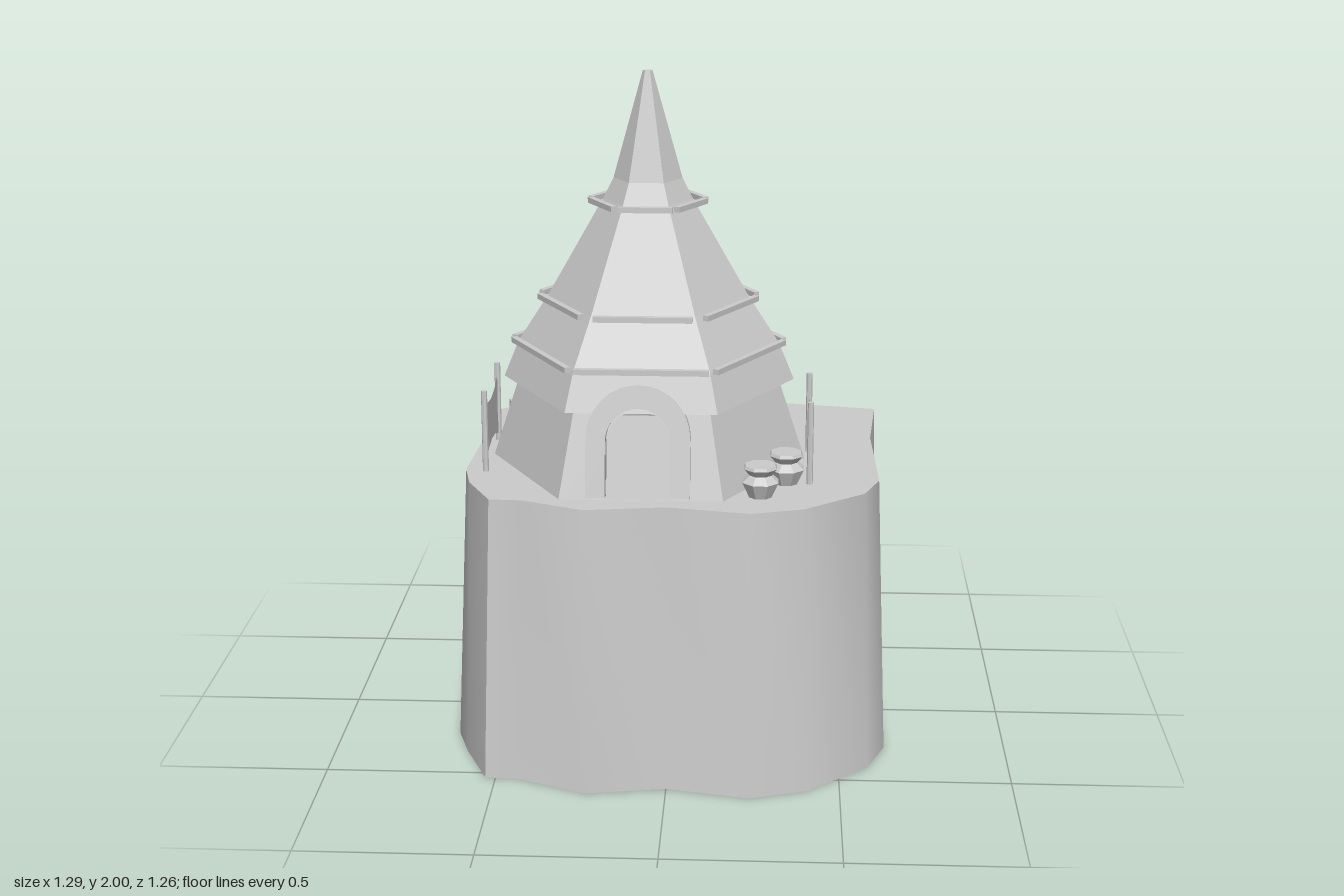
import * as THREE from 'three';
import { toCreasedNormals } from 'three/addons/utils/BufferGeometryUtils.js';

const GROUND = 0.845;
const flat = new THREE.MeshStandardMaterial({ color: 0xcccccc, flatShading: true, side: THREE.DoubleSide });
const smooth = new THREE.MeshStandardMaterial({ color: 0xcccccc, side: THREE.DoubleSide });

// Rock outline: bottom x, z then top x, z
const OUTLINE = [
  [-0.475, -0.62, -0.45, -0.57], [-0.32, -0.585, -0.295, -0.54], [-0.075, -0.635, -0.06, -0.59],
  [0.045, -0.61, 0.045, -0.57], [0.26, -0.615, 0.25, -0.57], [0.355, -0.545, 0.345, -0.505],
  [0.645, -0.485, 0.62, -0.455], [0.63, -0.14, 0.595, -0.14], [0.64, 0.275, 0.605, 0.275],
  [0.585, 0.415, 0.56, 0.395], [0.405, 0.575, 0.385, 0.54], [0.24, 0.63, 0.235, 0.585],
  [0, 0.58, 0, 0.54], [-0.23, 0.62, -0.23, 0.575], [-0.435, 0.535, -0.41, 0.5],
  [-0.53, 0.53, -0.505, 0.495], [-0.605, 0.355, -0.58, 0.345], [-0.645, 0.23, -0.605, 0.225],
  [-0.62, -0.12, -0.59, -0.12], [-0.64, -0.37, -0.6, -0.37], [-0.575, -0.455, -0.54, -0.44],
  [-0.6, -0.525, -0.565, -0.515],
];

function add(parent, name, geometry, material = flat, x = 0, y = 0, z = 0) {
  const mesh = new THREE.Mesh(geometry, material);
  mesh.name = name;
  mesh.position.set(x, y, z);
  parent.add(mesh);
  return mesh;
}

const lathe = (points, sides, start = 0) =>
  new THREE.LatheGeometry(points.map(([r, y]) => new THREE.Vector2(r, y)), sides, start);

// Round-topped doorway outline, standing on y = 0
function arch(path, x, r, spring) {
  path.moveTo(x - r, 0);
  path.lineTo(x + r, 0);
  path.lineTo(x + r, spring);
  path.absarc(x, spring, r, 0, Math.PI, false);
  path.lineTo(x - r, 0);
  return path;
}

// Open-bottomed rock with a flat top
function buildRock(parent) {
  const pos = [];
  OUTLINE.forEach(([bx, bz, tx, tz], i) => {
    const [bx2, bz2, tx2, tz2] = OUTLINE[(i + 1) % OUTLINE.length];
    pos.push(bx, 0, bz, tx, GROUND, tz, tx2, GROUND, tz2);
    pos.push(bx, 0, bz, tx2, GROUND, tz2, bx2, 0, bz2);
  });
  const sides = new THREE.BufferGeometry();
  sides.setAttribute('position', new THREE.Float32BufferAttribute(pos, 3));
  add(parent, 'rockSides', toCreasedNormals(sides, 0.6), smooth);

  const top = new THREE.Shape(OUTLINE.map(([, , x, z]) => new THREE.Vector2(x, -z)));
  add(parent, 'rockTop', new THREE.ShapeGeometry(top).rotateX(-Math.PI / 2), flat, 0, GROUND, 0);
}

// Six-sided hut with overhanging roof, beams and arched door
function buildHut(parent) {
  const hut = new THREE.Group();
  hut.name = 'hut';
  hut.position.set(-0.075, 0, 0.07);
  hut.scale.z = 1.03;
  parent.add(hut);

  // Walls on five sides; the front one has the doorway cut out
  const wallTop = 1.09, h = wallTop - GROUND, rb = 0.465, rt = 0.385;
  const c = Math.cos(Math.PI / 6);
  add(hut, 'walls', new THREE.CylinderGeometry(rt, rb, h, 5, 1, true, Math.PI / 6, Math.PI * 5 / 3),
    flat, 0, GROUND + h / 2, 0);
  const lean = (rb - rt) * c, slant = Math.hypot(h, lean);
  const front = new THREE.Shape([[-rb / 2, 0], [rb / 2, 0], [rt / 2, slant], [-rt / 2, slant]]
    .map(([x, y]) => new THREE.Vector2(x, y)));
  const hole = new THREE.Path();
  hole.moveTo(-0.1, 0.001);
  hole.lineTo(0.084, 0.001);
  hole.lineTo(0.084, 0.16);
  hole.absarc(-0.008, 0.16, 0.092, 0, Math.PI, false);
  front.holes.push(hole);
  add(hut, 'frontWall', new THREE.ShapeGeometry(front), flat, 0, GROUND, rb * c)
    .rotation.x = -Math.atan2(lean, h);

  // Door frame: outer arch down one side, inner arch back
  const frame = new THREE.Shape();
  const x = -0.008, ro = 0.1475, ri = 0.0925;
  frame.moveTo(x + ri, 0);
  frame.lineTo(x + ro, 0);
  frame.lineTo(x + ro, 0.17);
  frame.absarc(x, 0.17, ro, 0, Math.PI, false);
  frame.lineTo(x - ro, 0);
  frame.lineTo(x - ri, 0);
  frame.lineTo(x - ri, 0.16);
  frame.absarc(x, 0.16, ri, Math.PI, 0, true);
  frame.lineTo(x + ri, 0);
  add(hut, 'doorFrame', new THREE.ExtrudeGeometry(frame, { depth: 0.06, bevelEnabled: false, curveSegments: 8 }),
    flat, 0, GROUND, 0.362).rotation.x = -0.2;

  // Roof
  add(hut, 'roof', lathe([[rt, 1.09], [0.43, 1.09], [0.385, 1.2], [0.295, 1.34], [0.13, 1.63],
    [0.1, 1.69], [0.014, 2], [0, 2]], 6, Math.PI / 6));

  // Beams: height, distance out, length
  for (const [y, out, length] of [[1.205, 0.35, 0.38], [1.34, 0.285, 0.28], [1.625, 0.148, 0.155]]) {
    for (let i = 0; i < 6; i++) {
      const a = i * Math.PI / 3;
      add(hut, 'roofBeam', new THREE.BoxGeometry(length, 0.016, 0.018), flat,
        Math.sin(a) * out, y, Math.cos(a) * out).rotation.y = a;
    }
  }
}

// Two poles with a cloth stretched between them
function buildBanner(parent, ax, az, bx, bz) {
  const banner = new THREE.Group();
  banner.name = 'banner';
  banner.position.set((ax + bx) / 2, GROUND, (az + bz) / 2);
  banner.rotation.y = -Math.atan2(bz - az, bx - ax);
  parent.add(banner);
  const half = Math.hypot(bx - ax, bz - az) / 2;
  for (const s of [-1, 1]) {
    add(banner, 'pole', new THREE.CylinderGeometry(0.009, 0.009, 0.245, 8), flat, s * half, 0.1225, 0);
  }
  const cloth = new THREE.Shape();
  cloth.moveTo(-half, 0.02);
  cloth.quadraticCurveTo(0, 0.085, half, 0.02);
  cloth.lineTo(half - 0.02, 0.11);
  cloth.lineTo(half, 0.21);
  cloth.quadraticCurveTo(0, 0.145, -half, 0.21);
  cloth.lineTo(-half + 0.02, 0.11);
  add(banner, 'cloth', new THREE.ShapeGeometry(cloth, 4));
}

export function createModel() {
  const model = new THREE.Group();
  model.name = 'hutOnRock';
  buildRock(model);
  buildHut(model);

  buildBanner(model, -0.417, -0.38, -0.107, -0.397);
  buildBanner(model, -0.545, -0.072, -0.545, 0.238);
  buildBanner(model, 0.403, 0.003, 0.403, 0.314);

  // Clay pots
  const pot = lathe([[0, 0], [0.034, 0], [0.055, 0.045], [0.033, 0.065], [0.05, 0.085],
    [0.046, 0.094], [0, 0.094]], 8, Math.PI / 8);
  for (const [x, z] of [[-0.425, -0.25], [0.335, 0.307], [0.262, 0.43]]) {
    add(model, 'pot', pot, flat, x, GROUND, z);
  }
  return model;
}
